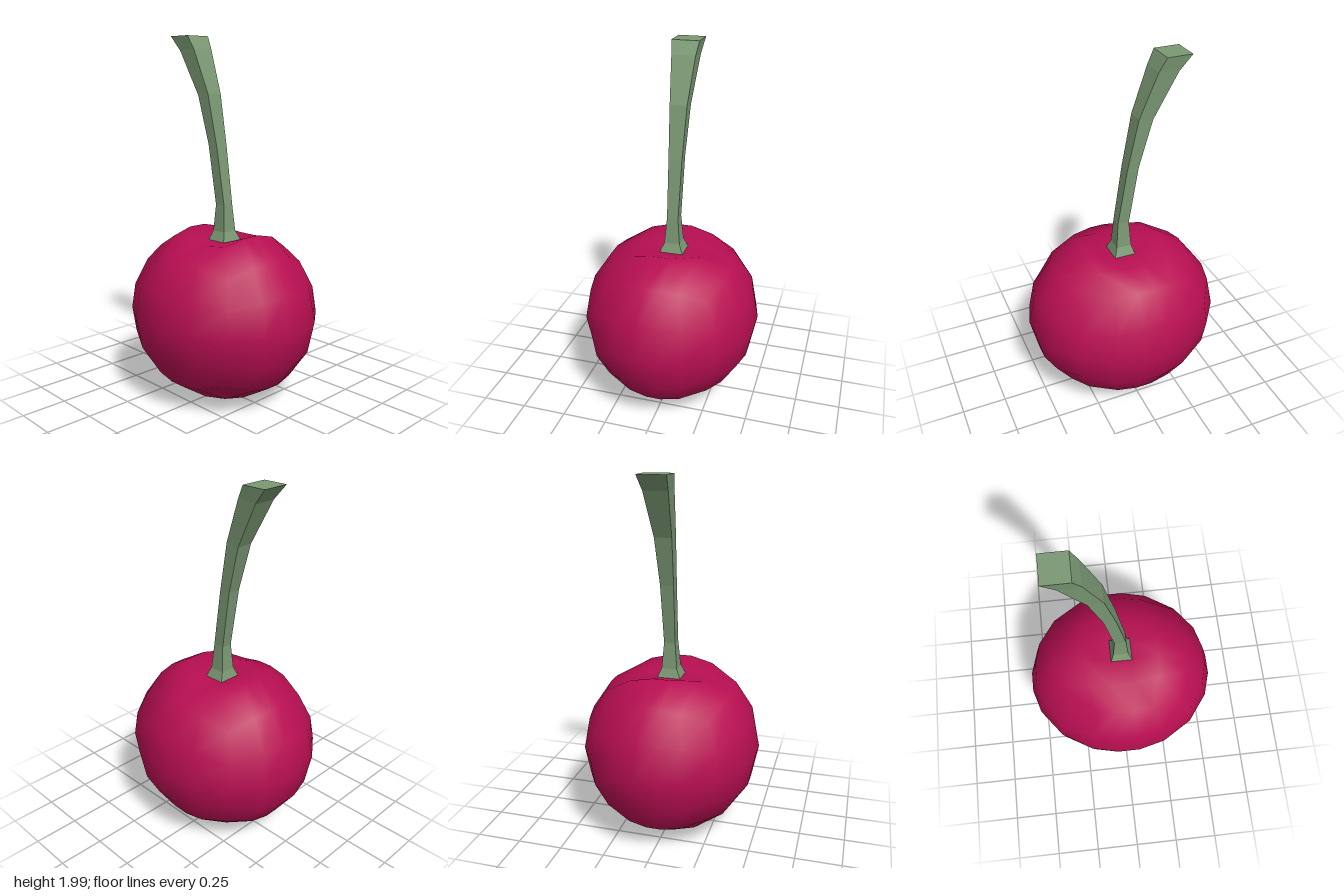
import * as THREE from 'three';
import { mergeVertices } from 'three/addons/utils/BufferGeometryUtils.js';

// Fruit: a cube grid rounded into an ellipsoid, with a groove pressed into the top
function createFruit() {
  const wide = [-1, -0.43, -0.12, 0.12, 0.43, 1];
  const tall = [-1, -0.42, 0, 0.42, 1];
  let geometry = new THREE.BoxGeometry(1, 1, 1, 5, 4, 5);
  geometry.deleteAttribute('uv');
  geometry.deleteAttribute('normal');
  geometry = mergeVertices(geometry);
  const pos = geometry.attributes.position;
  const v = new THREE.Vector3();
  for (let i = 0; i < pos.count; i++) {
    v.fromBufferAttribute(pos, i);
    v.set(
      wide[Math.round((v.x + 0.5) * 5)],
      tall[Math.round((v.y + 0.5) * 4)],
      wide[Math.round((v.z + 0.5) * 5)]
    );
    const inGroove = v.y === 1 && Math.abs(v.z) < 0.2 && Math.abs(v.x) < 0.9;
    const press = inGroove ? (Math.abs(v.x) < 0.2 ? 0.085 : 0.045) : 0;
    v.normalize();
    pos.setXYZ(i, v.x * 0.493, 0.493 + v.y * 0.493 - press, v.z * 0.547);
  }
  geometry.computeVertexNormals();
  const mesh = new THREE.Mesh(geometry, new THREE.MeshStandardMaterial({ color: 0xb80f52 }));
  mesh.name = 'fruit';
  return mesh;
}

// Stem: square rings that curve backwards and widen to a cut end
function createStem() {
  // half width in x, front y, front z, back y, back z
  const rings = [
    [0.067, 0.89, 0.064, 0.89, -0.058],
    [0.043, 0.945, 0.043, 0.945, -0.042],
    [0.031, 1.09, 0.031, 1.09, -0.033],
    [0.037, 1.41, -0.02, 1.42, -0.085],
    [0.047, 1.69, -0.077, 1.68, -0.155],
    [0.065, 1.93, -0.17, 1.92, -0.28],
    [0.076, 2, -0.208, 2, -0.346]
  ];
  const centreX = 0.008;
  const points = [];
  for (const [w, fy, fz, by, bz] of rings) {
    points.push(centreX + w, fy, fz, centreX + w, by, bz);
    points.push(centreX - w, by, bz, centreX - w, fy, fz);
  }
  const index = [0, 2, 1, 0, 3, 2];
  for (let r = 0; r < rings.length - 1; r++) {
    for (let k = 0; k < 4; k++) {
      const a = r * 4 + k;
      const b = r * 4 + (k + 1) % 4;
      index.push(a, b, b + 4, a, b + 4, a + 4);
    }
  }
  const top = (rings.length - 1) * 4;
  index.push(top, top + 1, top + 2, top, top + 2, top + 3);

  let geometry = new THREE.BufferGeometry();
  geometry.setAttribute('position', new THREE.Float32BufferAttribute(points, 3));
  geometry.setIndex(index);
  geometry = geometry.toNonIndexed();
  geometry.computeVertexNormals();
  const material = new THREE.MeshStandardMaterial({ color: 0x7a9873, flatShading: true });
  const mesh = new THREE.Mesh(geometry, material);
  mesh.name = 'stem';
  return mesh;
}

export function createModel() {
  const group = new THREE.Group();
  group.name = 'cherry';
  group.add(createFruit(), createStem());
  return group;
}
